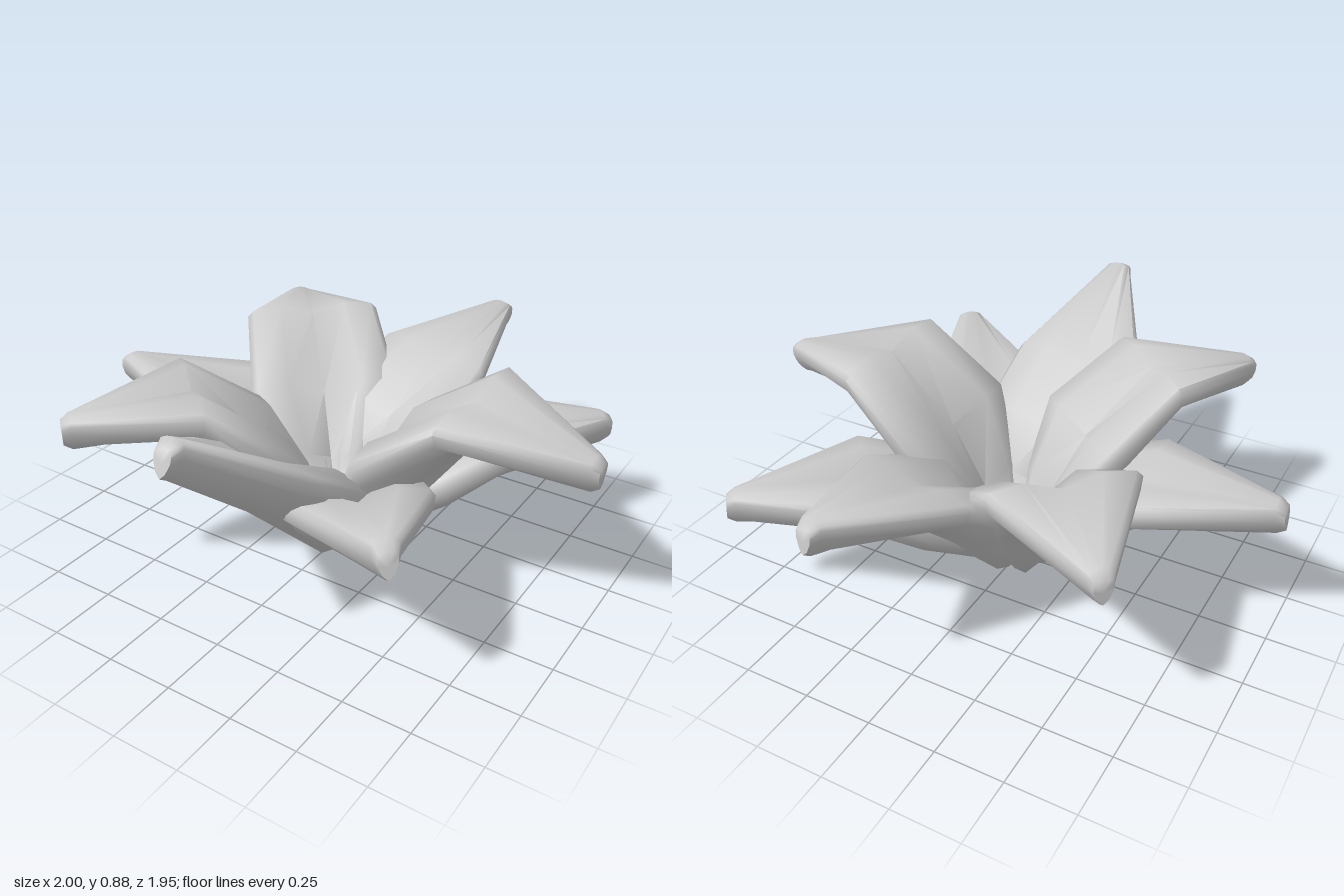
import * as THREE from 'three';
import { toCreasedNormals } from 'three/addons/utils/BufferGeometryUtils.js';

const material = new THREE.MeshStandardMaterial({ color: 0xcccccc });

// Half cross-section from valley to keel: [share of half width, share of height]
const half = [[0, 1], [0.5, 1], [0.92, 0.93], [1, 0.82], [0.97, 0.58], [0.55, 0.2], [0, 0]];
// Full loop, counter-clockwise seen from the tip
const loop = [
  ...half.map(([u, v]) => [-u, v]),
  ...half.slice(1, -1).reverse(),
];

// One petal pointing along +z: cross-sections lofted along its keel
function petalGeometry({ midR, midTop, midKeel, tipR, tipY, width }) {
  const slope = Math.atan2(midKeel, midR - 0.12);
  const lerp = (t) => [0.12 + (midR - 0.12) * t, midKeel * t];
  const tilt = Math.atan2(tipY - 0.065 - midKeel, tipR - midR);
  // keel radius, keel height, lean, half width, height, height share of the valley
  const stations = [
    [-0.03, 0, 0, 0.04, 0.07, 0.8],
    [...lerp(0), slope, 0.07, 0.13, 0.8],
    [...lerp(0.3), slope * 0.9, width * 0.7, 0.21, 0.7],
    [...lerp(0.62), slope * 0.75, width * 1.1, 0.26, 0.68],
    [...lerp(1), (slope + tilt) * 0.15, width, midTop - midKeel, 0.8],
    [tipR - 0.03, tipY - 0.065, tilt * 0.5, 0.046, 0.13, 1.03],
    [tipR, tipY - 0.045, tilt * 0.5, 0.032, 0.09, 1.03],
  ];
  const n = loop.length;
  const pos = [];
  const index = [];
  for (const [r, y, lean, w, h, valley] of stations) {
    loop.forEach(([u, v], j) => {
      const up = h * (j === 0 ? valley : v);
      pos.push(u * w, y + up * Math.cos(lean), r - up * Math.sin(lean));
    });
  }
  for (let i = 0; i < stations.length - 1; i++) {
    for (let j = 0; j < n; j++) {
      const a = i * n + j;
      const b = i * n + (j + 1) % n;
      index.push(a, b, b + n, a, b + n, a + n);
    }
  }
  // Close both ends with fans around their middle points
  [0, stations.length - 1].forEach((s) => {
    const [r, y, lean, , h] = stations[s];
    const c = pos.length / 3;
    pos.push(0, y + h * 0.5 * Math.cos(lean), r - h * 0.5 * Math.sin(lean));
    for (let j = 0; j < n; j++) {
      const a = s * n + j;
      const b = s * n + (j + 1) % n;
      if (s === 0) index.push(c, b, a);
      else index.push(c, a, b);
    }
  });
  const geo = new THREE.BufferGeometry();
  geo.setAttribute('position', new THREE.Float32BufferAttribute(pos, 3));
  geo.setIndex(index);
  return toCreasedNormals(geo, 1.1);
}

// name, tip x, y, z, then middle radius, top, keel and half width
const petals = [
  ['leftPetal', 1.0, 0.62, 0.02, 0.56, 0.79, 0.6, 0.28],
  ['rightPetal', -1.0, 0.495, 0.04, 0.52, 0.55, 0.35, 0.26],
  ['backPetal', 0.2, 0.64, -0.98, 0.55, 0.64, 0.46, 0.25],
  ['backRightPetal', -0.67, 0.6, -0.71, 0.6, 0.74, 0.54, 0.26],
  ['backLeftPetal', 0.78, 0.4, -0.71, 0.58, 0.5, 0.26, 0.26],
  ['frontRightPetal', -0.62, 0.625, 0.75, 0.55, 0.76, 0.56, 0.24],
  ['frontLeftPetal', 0.64, 0.555, 0.72, 0.52, 0.52, 0.31, 0.25],
  ['frontPetal', 0.02, 0.82, 0.97, 0.57, 0.65, 0.44, 0.26],
];

export function createModel() {
  const flower = new THREE.Group();
  flower.name = 'flower';
  for (const [name, x, tipY, z, midR, midTop, midKeel, width] of petals) {
    const geo = petalGeometry({ midR, midTop, midKeel, tipR: Math.hypot(x, z), tipY, width });
    const petal = new THREE.Mesh(geo, material);
    petal.name = name;
    petal.rotation.y = Math.atan2(x, z);
    flower.add(petal);
  }
  return flower;
}
